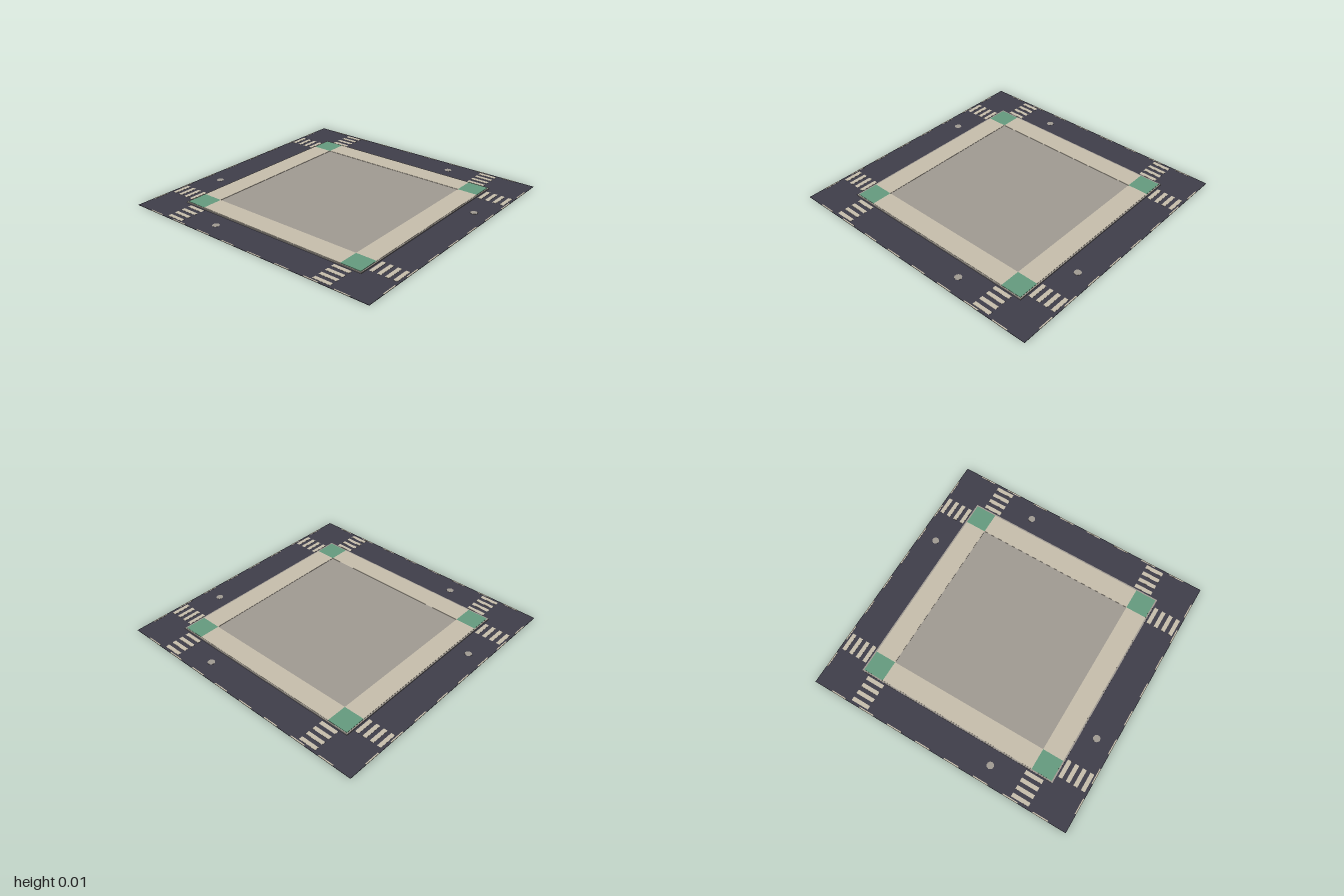
import * as THREE from 'three';

const material = (name, color) => {
  const m = new THREE.MeshStandardMaterial({ color });
  m.name = name;
  return m;
};

export function createModel() {
  const asphalt = material('asphalt', 0x403f4b);
  const cream = material('cream paving', 0xc9c0ae);
  const grey = material('grey concrete', 0xa29c94);
  const green = material('green planting', 0x669c80);
  const model = new THREE.Group();
  model.name = 'cityBlock';

  // Box given by its plan centre, plan size, and bottom and top heights
  const slab = (parent, name, mat, x, z, w, d, y0, y1) => {
    const mesh = new THREE.Mesh(new THREE.BoxGeometry(w, y1 - y0, d), mat);
    mesh.position.set(x, (y0 + y1) / 2, z);
    mesh.name = name;
    parent.add(mesh);
  };
  const ROAD = 0.002, MARK = 0.003, CURB = 0.008, WALK = 0.01;

  // Road sheet and raised block whose rim is the curb
  slab(model, 'road', asphalt, 0, 0, 2, 2, 0, ROAD);
  slab(model, 'blockBase', grey, 0, 0, 1.53, 1.53, ROAD, CURB);

  // Each side of the block repeats by quarter turns
  for (let i = 0; i < 4; i++) {
    const side = new THREE.Group();
    side.name = 'blockSide' + (i + 1);
    side.rotation.y = i * Math.PI / 2;
    model.add(side);

    slab(side, 'sidewalk', cream, 0, 0.6775, 1.2, 0.155, CURB, WALK);
    slab(side, 'cornerPlanting', green, 0.6775, 0.6775, 0.155, 0.155, CURB, WALK);

    // Half-width centre-line dashes along the outer edge
    for (let k = 0; k < 8; k++) {
      slab(side, 'laneDash', cream, (k - 3.5) * 0.23, 0.995, 0.115, 0.01, ROAD, MARK);
    }
    // Crosswalks near both corners
    for (const s of [-1, 1]) {
      for (let k = 0; k < 4; k++) {
        slab(side, 'crosswalkBar', cream, s * 0.64, 0.792 + k * 0.0575, 0.134, 0.029, ROAD, MARK);
      }
    }
    // Manhole cover: offsets are mirrored on alternate sides
    const cover = new THREE.Mesh(new THREE.CylinderGeometry(0.026, 0.026, MARK - ROAD, 10), grey);
    cover.position.set(i % 2 ? -0.35 : 0.35, (ROAD + MARK) / 2, 0.875);
    cover.name = 'manholeCover';
    side.add(cover);
  }
  return model;
}
